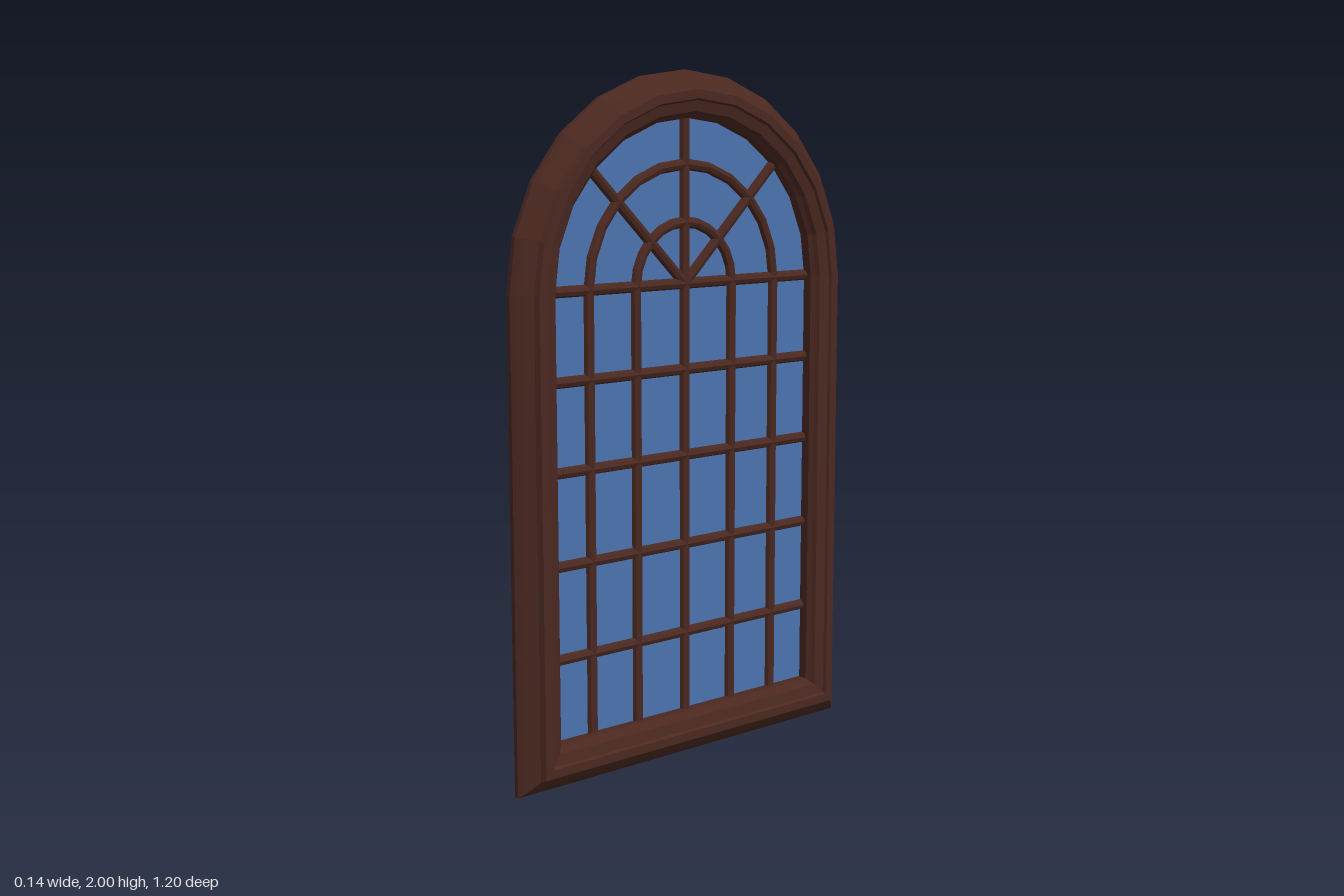
import * as THREE from 'three';

const SPRING = 1.4, HALF = 0.6, ARCH_SEGMENTS = 12;

const wood = new THREE.MeshStandardMaterial({ color: 0x4a2820, flatShading: true });
const glass = new THREE.MeshStandardMaterial({ color: 0x4a72ad, side: THREE.DoubleSide });

// Arched outline, moved inwards by d, as (z, y) points
function outline(d) {
  const r = HALF - d;
  const pts = [new THREE.Vector2(-r, d), new THREE.Vector2(r, d)];
  for (let i = 0; i <= ARCH_SEGMENTS; i++) {
    const a = (i / ARCH_SEGMENTS) * Math.PI;
    pts.push(new THREE.Vector2(r * Math.cos(a), SPRING + r * Math.sin(a)));
  }
  return pts;
}

// Moulded frame: a symmetric [inset, x] profile swept round the outline with mitred corners
function frameGeometry() {
  const half = [[0.132, 0.03], [0.122, 0.04], [0.115, 0.052], [0.085, 0.06], [0.08, 0.068],
    [0.055, 0.068], [0.048, 0.052], [0.035, 0.042], [0.022, 0.032], [0.01, 0.02], [0, 0.008]];
  const profile = [...half, ...half.map(([d, x]) => [d, -x]).reverse()];
  const rings = profile.map(([d]) => outline(d));
  const n = rings[0].length, m = profile.length;
  const positions = [], index = [];
  for (let i = 0; i < n; i++) {
    for (let j = 0; j < m; j++) positions.push(profile[j][1], rings[j][i].y, rings[j][i].x);
  }
  for (let i = 0; i < n; i++) {
    for (let j = 0; j < m; j++) {
      const i2 = (i + 1) % n, j2 = (j + 1) % m;
      const a = i * m + j, b = i2 * m + j, c = i2 * m + j2, d = i * m + j2;
      index.push(a, b, c, a, c, d);
    }
  }
  const g = new THREE.BufferGeometry();
  g.setAttribute('position', new THREE.Float32BufferAttribute(positions, 3));
  g.setIndex(index);
  g.computeVertexNormals();
  return g;
}

export function createModel() {
  const model = new THREE.Group();
  model.name = 'archedWindow';

  function add(name, geometry, material, parent = model) {
    const mesh = new THREE.Mesh(geometry, material);
    mesh.name = name;
    parent.add(mesh);
    return mesh;
  }

  add('frame', frameGeometry(), wood);

  // Single pane in the middle of the frame
  const pane = new THREE.ShapeGeometry(new THREE.Shape(outline(0.125)));
  pane.rotateY(-Math.PI / 2);
  add('glassPane', pane, glass);

  const bars = new THREE.Group();
  bars.name = 'glazingBars';
  model.add(bars);
  const R = 0.016;

  // Round bar between two (z, y) points
  function bar(name, z1, y1, z2, y2) {
    const length = Math.hypot(z2 - z1, y2 - y1);
    const g = new THREE.CylinderGeometry(R, R, length, 8);
    g.rotateX(Math.atan2(z2 - z1, y2 - y1));
    add(name, g, wood, bars).position.set(0, (y1 + y2) / 2, (z1 + z2) / 2);
  }

  // Horizontal bars
  for (const y of [0.367, 0.635, 0.9, 1.152, 1.4]) bar('horizontalBar', -0.478, y, 0.478, y);

  // Vertical bars, the outer ones running on into concentric arches
  bar('centreBar', 0, 0.12, 0, 1.88);
  for (const r of [0.175, 0.338]) {
    for (const s of [-1, 1]) bar('verticalBar', s * r, 0.12, s * r, SPRING);
    const arch = new THREE.TorusGeometry(r, R, 8, ARCH_SEGMENTS, Math.PI);
    arch.rotateY(Math.PI / 2);
    add('archBar', arch, wood, bars).position.y = SPRING;
  }

  // Diagonal fan bars
  const e = 0.478 * Math.SQRT1_2;
  for (const s of [-1, 1]) bar('fanBar', 0, SPRING, s * e, SPRING + e);

  return model;
}
